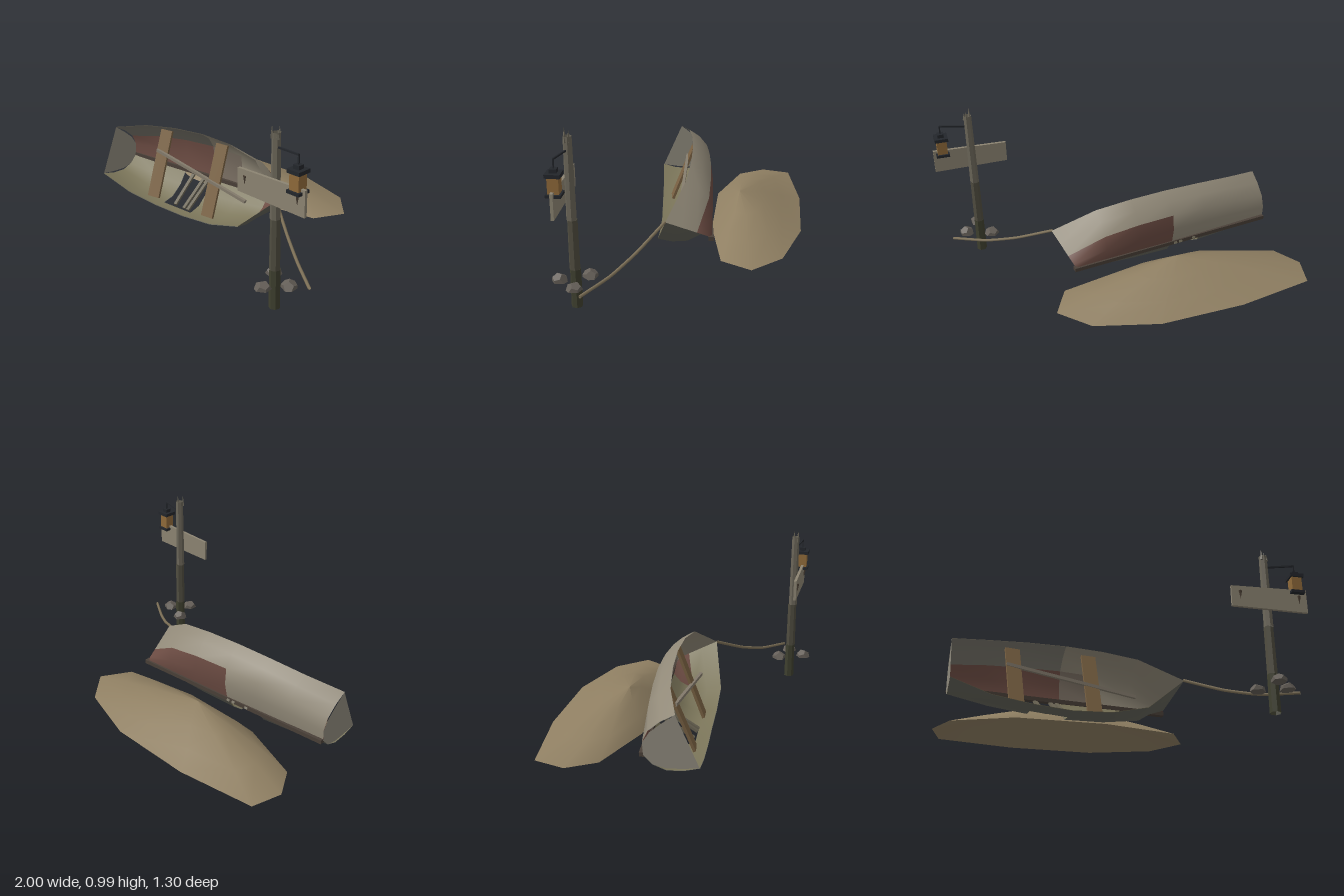
import * as THREE from 'three';

const V = (x, y, z) => new THREE.Vector3(x, y, z);
const DARK = 0x23262b, GREY = 0x918978, RED = 0x6b4b42, OLIVE = 0x7d775b, SLATE = 0x77746a, MOSS = 0x64645a;
const DOUBLE = { side: THREE.DoubleSide };

function add(parent, name, geometry, color, extra = {}) {
  const mesh = new THREE.Mesh(geometry, new THREE.MeshStandardMaterial({ color, ...extra }));
  mesh.name = name;
  parent.add(mesh);
  return mesh;
}

// Indexed surface with smooth normals
function surface(points, index) {
  const g = new THREE.BufferGeometry().setFromPoints(points);
  g.setIndex(index);
  g.computeVertexNormals();
  return g;
}

// Box bar running from a to b
function bar(parent, name, a, b, width, thick, color) {
  const mesh = add(parent, name, new THREE.BoxGeometry(width, thick, a.distanceTo(b)), color);
  mesh.position.copy(a).lerp(b, 0.5);
  mesh.lookAt(b);
}

function box(parent, name, [w, h, d], [x, y, z], color) {
  add(parent, name, new THREE.BoxGeometry(w, h, d), color).position.set(x, y, z);
}

// Hull stations, stern to bow: upper gunwale, lower gunwale, keel
const STATIONS = [
  [V(-0.92, 0.45, 0.18), V(-0.91, 0.165, 0.305), V(-0.93, 0.215, 0.015)],
  [V(-0.71, 0.495, 0.1), V(-0.69, 0.095, 0.275), V(-0.71, 0.215, -0.015)],
  [V(-0.49, 0.52, 0.055), V(-0.47, 0.067, 0.248), V(-0.5, 0.215, -0.045)],
  [V(-0.27, 0.53, 0.025), V(-0.25, 0.055, 0.22), V(-0.29, 0.215, -0.075)],
  [V(-0.05, 0.52, 0.01), V(-0.03, 0.068, 0.2), V(-0.07, 0.215, -0.1)],
  [V(0.16, 0.485, 0.015), V(0.18, 0.12, 0.18), V(0.14, 0.215, -0.125)],
  [V(0.41, 0.335, 0.1), V(0.41, 0.335, 0.1), V(0.33, 0.22, -0.15)],
];
// Half section from keel to gunwale: share of half beam, share of depth
const HALF = [[0, 0], [0.42, 0.1], [0.75, 0.32], [0.93, 0.65], [1, 1]];

// Nine points across the hull, lower gunwale to upper gunwale, drawn in by the inset share
function section([upper, lower, keel], inset) {
  const mid = upper.clone().lerp(lower, 0.5), rise = mid.clone().sub(keel);
  const side = (edge) => HALF.map(([t, h]) => keel.clone()
    .addScaledVector(edge.clone().sub(mid), t).addScaledVector(rise, h).lerp(mid, inset));
  return [...side(lower).reverse(), ...side(upper).slice(1)];
}

// Plank colours by segment (stern to bow) and strake (0-3 lower side, 4-7 upper side)
function plankColor(seg, strake, inner) {
  if (inner) {
    if (strake < 4) return seg === 5 && strake > 1 ? RED : OLIVE;
    if (seg < 3) return strake < 6 ? RED : SLATE;
    return seg === 3 && strake < 6 ? 0x756a5e : GREY;
  }
  if (strake < 4) return MOSS;
  return seg > 2 && strake < 6 ? RED : GREY;
}

function buildHull(boat) {
  for (const inner of [true, false]) {
    const points = STATIONS.flatMap((s) => section(s, inner ? 0.015 : 0));
    const faces = new Map();
    for (let i = 0; i < 6; i++) for (let j = 0; j < 8; j++) {
      if (i === 2 && j > 0 && j < 4) continue; // broken planks
      const color = plankColor(i, j, inner);
      if (!faces.has(color)) faces.set(color, []);
      const a = i * 9 + j, b = a + 9;
      faces.get(color).push(...(inner ? [a, b, a + 1, b, b + 1, a + 1] : [a, a + 1, b, b, a + 1, b + 1]));
    }
    for (const [color, index] of faces) {
      add(boat, inner ? 'innerPlanks' : 'outerPlanks', surface(points, index), color, DOUBLE);
    }
  }

  // Transom, shrunk at the bilges so gaps show there
  const ring = section(STATIONS[0], 0);
  const centre = ring.reduce((s, p) => s.add(p), V(0, 0, 0)).divideScalar(9);
  ring.forEach((p, j) => p.lerp(centre, [1, 2, 6, 7].includes(j) ? 0.1 : 0.01));
  const fan = ring.flatMap((_, j) => [0, j + 1, ((j + 1) % 9) + 1]);
  add(boat, 'transom', surface([centre, ...ring], fan), 0x8c877a, DOUBLE);

  // Bare ribs across the hole
  for (const [x0, x1, z] of [[-0.435, -0.395, -0.07], [-0.345, -0.315, -0.083], [-0.31, -0.28, -0.088]]) {
    bar(boat, 'rib', V(x0, 0.218, z), V(x1, 0.062, 0.15), 0.02, 0.014, 0x6b6554);
  }
}

function buildBoat() {
  const boat = new THREE.Group();
  boat.name = 'rowingBoat';
  buildHull(boat);
  bar(boat, 'keel', V(-0.93, 0.215, 0.01), V(0.34, 0.215, -0.148), 0.03, 0.024, 0x4a4038);
  bar(boat, 'sternSeat', V(-0.58, 0.478, 0.037), V(-0.55, 0.08, 0.192), 0.085, 0.016, 0x7a6243);
  bar(boat, 'bowSeat', V(-0.135, 0.49, -0.012), V(-0.115, 0.07, 0.142), 0.085, 0.016, 0x7a6243);
  bar(boat, 'looseOar', V(-0.61, 0.355, 0.1), V(0.13, 0.225, 0.065), 0.018, 0.018, 0x857c6d);
  return boat;
}

// Low sandbank made of shrinking ten-sided rings
function buildSandbank(model) {
  const outline = [[-0.75, 0], [-0.71, -0.175], [-0.265, -0.255], [0.23, -0.265], [0.6, -0.165],
    [0.76, 0], [0.67, 0.175], [0.245, 0.265], [-0.28, 0.275], [-0.65, 0.155]];
  const rings = [[1, 0.122, -0.385], [0.7, 0.172, -0.345], [0.36, 0.232, -0.322], [0.001, 0.265, -0.268]];
  const points = rings.flatMap(([s, y, z]) => outline.map(([ox, oz]) => V(-0.25 + ox * s, y, z + oz * s)));
  const index = [];
  for (let r = 0; r < 3; r++) for (let k = 0; k < 10; k++) {
    const a = r * 10 + k, b = r * 10 + (k + 1) % 10;
    index.push(a, a + 10, b, b, a + 10, b + 10);
  }
  // The outline runs clockwise from above, so flip to face up
  add(model, 'sandbank', surface(points, index.reverse()), 0x8f7f62, DOUBLE);
}

function buildSignpost() {
  const post = new THREE.Group();
  post.name = 'signpost';
  // Hollow post, mossy at the foot, with a splintered top
  const pieces = [[0, 0.22, 0.031, 0.029, 0x3f402f], [0.22, 0.5, 0.029, 0.027, 0x504d40], [0.5, 0.95, 0.027, 0.023, 0x6b6659]];
  for (const [y0, y1, r0, r1, color] of pieces) {
    const tube = new THREE.CylinderGeometry(r1, r0, y1 - y0, 7, 1, true);
    add(post, 'post', tube, color, { flatShading: true, ...DOUBLE }).position.set(0.78, (y0 + y1) / 2, 0.518 + (y0 + y1) * 0.005);
  }
  for (const [x, z, top] of [[0.766, 0.543, 0.99], [0.79, 0.515, 0.985], [0.797, 0.535, 0.965]]) {
    const spike = new THREE.ConeGeometry(0.01, top - 0.92, 4);
    add(post, 'splinter', spike, 0x6b6659, { flatShading: true }).position.set(x, (top + 0.92) / 2, z);
  }

  // Board with two nails
  const board = new THREE.Shape([[0.565, 0.595], [1, 0.59], [1, 0.73], [0.565, 0.72]].map((p) => new THREE.Vector2(...p)));
  add(post, 'signBoard', new THREE.ExtrudeGeometry(board, { depth: 0.016, bevelEnabled: false }), 0x8c8472).position.z = 0.552;
  for (const x of [0.615, 0.955]) {
    const nail = add(post, 'nail', new THREE.ConeGeometry(0.01, 0.05, 4), 0x4a3f34);
    nail.rotation.x = Math.PI;
    nail.position.set(x, 0.665, 0.57);
  }

  // Bracket and lantern
  bar(post, 'bracketArm', V(0.785, 0.878, 0.53), V(0.945, 0.89, 0.555), 0.009, 0.009, DARK);
  box(post, 'bracketHook', [0.007, 0.065, 0.007], [0.945, 0.861, 0.555], DARK);
  const lantern = new THREE.Group();
  lantern.name = 'lantern';
  box(lantern, 'lanternBase', [0.078, 0.016, 0.078], [0.945, 0.708, 0.556], DARK);
  box(lantern, 'lanternGlass', [0.058, 0.09, 0.058], [0.945, 0.76, 0.556], 0x8f6a3a);
  box(lantern, 'lanternRoof', [0.078, 0.02, 0.078], [0.945, 0.812, 0.556], DARK);
  box(lantern, 'lanternCap', [0.036, 0.022, 0.036], [0.945, 0.832, 0.556], DARK);
  post.add(lantern);
  return post;
}

// Flat-bottomed stones round the post
function buildStones() {
  const stones = new THREE.Group();
  stones.name = 'stones';
  for (const [x, z, turn] of [[0.715, 0.457, 0.3], [0.78, 0.607, 1.1], [0.865, 0.507, 2.2]]) {
    const g = new THREE.DodecahedronGeometry(0.045);
    const p = g.attributes.position;
    for (let i = 0; i < p.count; i++) p.setY(i, Math.max(p.getY(i), 0));
    g.computeVertexNormals();
    const stone = add(stones, 'stone', g, 0x655f58, { flatShading: true });
    stone.position.set(x, 0.142, z);
    stone.rotation.y = turn;
  }
  return stones;
}

export function createModel() {
  const model = new THREE.Group();
  model.name = 'strandedBoat';
  model.add(buildBoat(), buildSignpost(), buildStones());
  buildSandbank(model);
  // Mooring rope sagging from the bow to the post
  const path = [V(0.405, 0.335, 0.103), V(0.6, 0.238, 0.228), V(0.77, 0.18, 0.337), V(0.955, 0.154, 0.458)];
  const rope = new THREE.CatmullRomCurve3(path, false, 'catmullrom', 0.25);
  add(model, 'mooringRope', new THREE.TubeGeometry(rope, 16, 0.009, 6), 0x7d7057, DOUBLE);
  return model;
}
